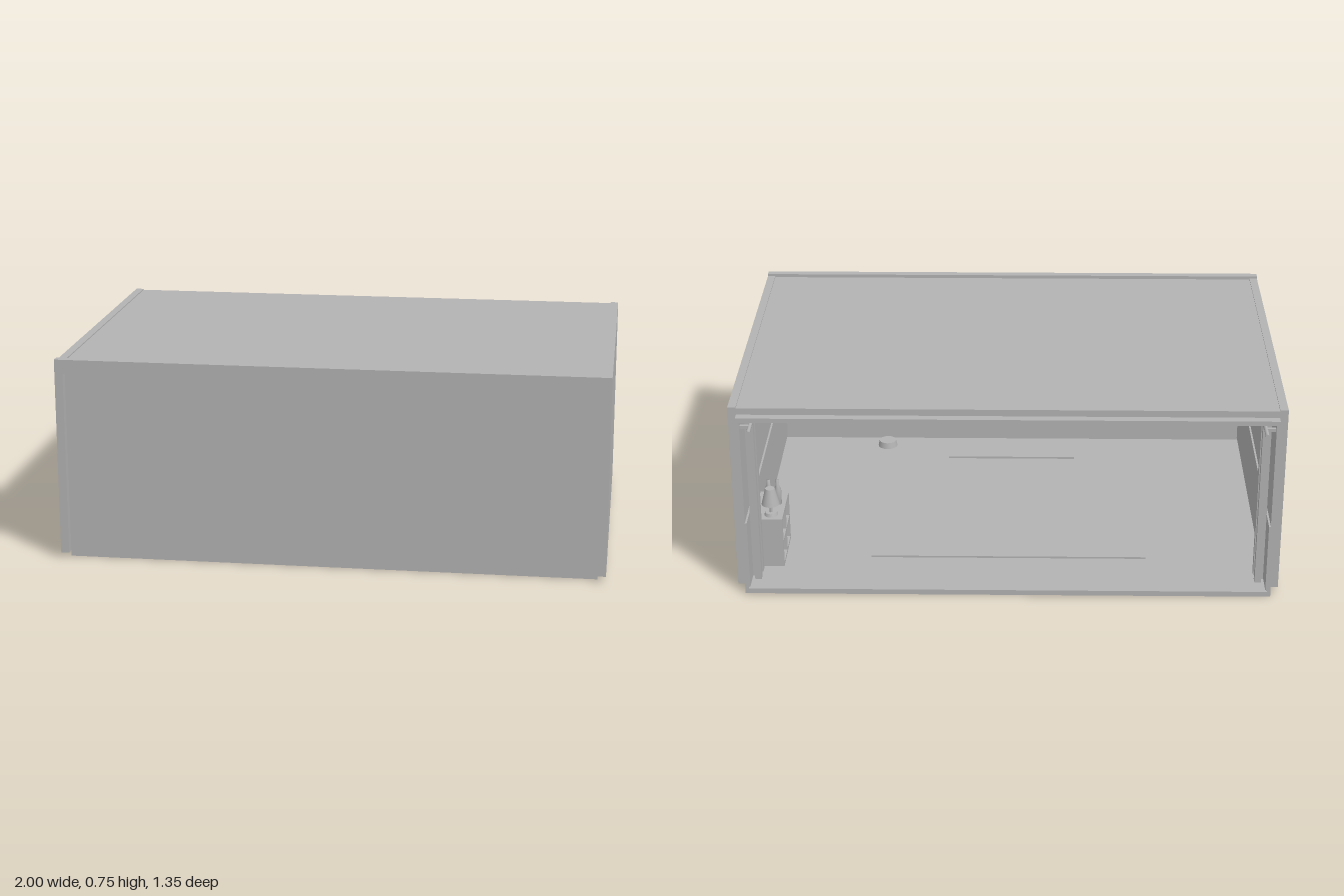
import * as THREE from 'three';

export function createModel() {
  const model = new THREE.Group();
  model.name = 'openRoom';
  const grey = new THREE.MeshStandardMaterial({ color: 0xb2b2b2 });
  grey.name = 'plain grey';

  const add = (name, geometry, x = 0, y = 0, z = 0, parent = model) => {
    const mesh = new THREE.Mesh(geometry, grey);
    mesh.name = name;
    mesh.position.set(x, y, z);
    parent.add(mesh);
    return mesh;
  };
  // Box given by its lower and upper limits on each axis
  const box = (name, [x0, x1], [y0, y1], [z0, z1], parent = model) =>
    add(name, new THREE.BoxGeometry(x1 - x0, y1 - y0, z1 - z0),
      (x0 + x1) / 2, (y0 + y1) / 2, (z0 + z1) / 2, parent);
  const mirrored = (s, a, b) => (s > 0 ? [a, b] : [-b, -a]);

  // Inner lining, open at the back
  box('floor', [-0.97, 0.97], [0, 0.02], [-0.642, 0.645]);
  box('ceiling', [-0.97, 0.97], [0.7, 0.717], [-0.642, 0.645]);
  box('frontWall', [-0.97, 0.97], [0.02, 0.7], [0.63, 0.645]);

  // Outer shell
  box('roof', [-0.97, 0.97], [0.717, 0.742], [-0.61, 0.645]);
  box('frontLintel', [-1, 1], [0.702, 0.755], [0.645, 0.676]);

  for (const s of [1, -1]) {
    const side = s > 0 ? 'left' : 'right';
    box(side + 'Lining', mirrored(s, 0.957, 0.97), [0.02, 0.7], [-0.642, 0.63]);
    box(side + 'OuterWall', mirrored(s, 0.97, 1), [0.022, 0.746], [-0.61, 0.645]);
    box(side + 'FrontPost', mirrored(s, 0.97, 1), [0.022, 0.702], [0.645, 0.676]);
    box(side + 'Wainscot', mirrored(s, 0.95, 0.957), [0.03, 0.295], [-0.646, 0.63]);

    // Curtain rod with a gathered curtain beside the opening
    const rod = add(side + 'CurtainRod', new THREE.CylinderGeometry(0.007, 0.007, 1.27, 10),
      s * 0.922, 0.675, -0.04);
    rod.rotation.x = Math.PI / 2;
    box(side + 'RodBracket', mirrored(s, 0.922, 0.957), [0.669, 0.681], [-0.628, -0.616]);
    for (let i = 0; i < 3; i++) {
      const x = 0.915 + (i % 2) * 0.01;
      const z = -0.59 + i * 0.028;
      box(side + 'CurtainFold', mirrored(s, x, x + 0.024), [0.03, 0.685], [z, z + 0.028]);
    }
  }

  // Ceiling lights
  for (const x of [-0.55, 0.55]) {
    for (const z of [-0.33, 0.02, 0.37]) {
      box('ceilingLight', [x - 0.1, x + 0.1], [0.68, 0.7], [z - 0.04, z + 0.04]);
    }
  }

  // Rug and low mat
  box('rug', [-0.52, 0.52], [0.02, 0.027], [-0.4, 0.22]);
  box('mat', [-0.26, 0.26], [0.02, 0.028], [0.44, 0.6]);
  add('lowStand', new THREE.CylinderGeometry(0.035, 0.04, 0.025, 16), 0.52, 0.032, 0.56);

  // Bedside shelf, open towards the middle of the room
  const shelf = new THREE.Group();
  shelf.name = 'bedsideShelf';
  model.add(shelf);
  const X = [0.843, 0.95];
  box('shelfBack', [0.94, 0.95], [0.02, 0.22], [-0.474, -0.25], shelf);
  for (const z of [-0.474, -0.262]) box('shelfSide', X, [0.02, 0.22], [z, z + 0.012], shelf);
  for (const y of [0.02, 0.112, 0.208]) box('shelfBoard', X, [y, y + 0.012], [-0.462, -0.262], shelf);
  box('shelfDivider', X, [0.032, 0.208], [-0.368, -0.356], shelf);
  for (let i = 0; i < 3; i++) {
    const z = -0.345 + i * 0.022;
    box('book', [0.865, 0.935], [0.124, 0.17 + (i % 2) * 0.015], [z, z + 0.018], shelf);
    box('book', [0.865, 0.935], [0.032 + i * 0.016, 0.046 + i * 0.016], [-0.45, -0.38], shelf);
  }

  // Table lamp
  const lamp = new THREE.Group();
  lamp.name = 'tableLamp';
  lamp.position.set(0.888, 0.22, -0.435);
  model.add(lamp);
  add('lampBase', new THREE.CylinderGeometry(0.022, 0.026, 0.012, 16), 0, 0.006, 0, lamp);
  add('lampStem', new THREE.CylinderGeometry(0.006, 0.006, 0.04, 10), 0, 0.03, 0, lamp);
  add('lampShade', new THREE.CylinderGeometry(0.018, 0.034, 0.065, 16), 0, 0.078, 0, lamp);

  // Bottles
  const profile = [[0, 0], [0.014, 0], [0.014, 0.06], [0.007, 0.075], [0.007, 0.1], [0, 0.1]]
    .map(([r, y]) => new THREE.Vector2(r, y));
  for (const [x, z, k] of [[0.872, -0.345, 1], [0.91, -0.31, 0.8]]) {
    add('bottle', new THREE.LatheGeometry(profile, 14), x, 0.22, z).scale.y = k;
  }

  return model;
}
